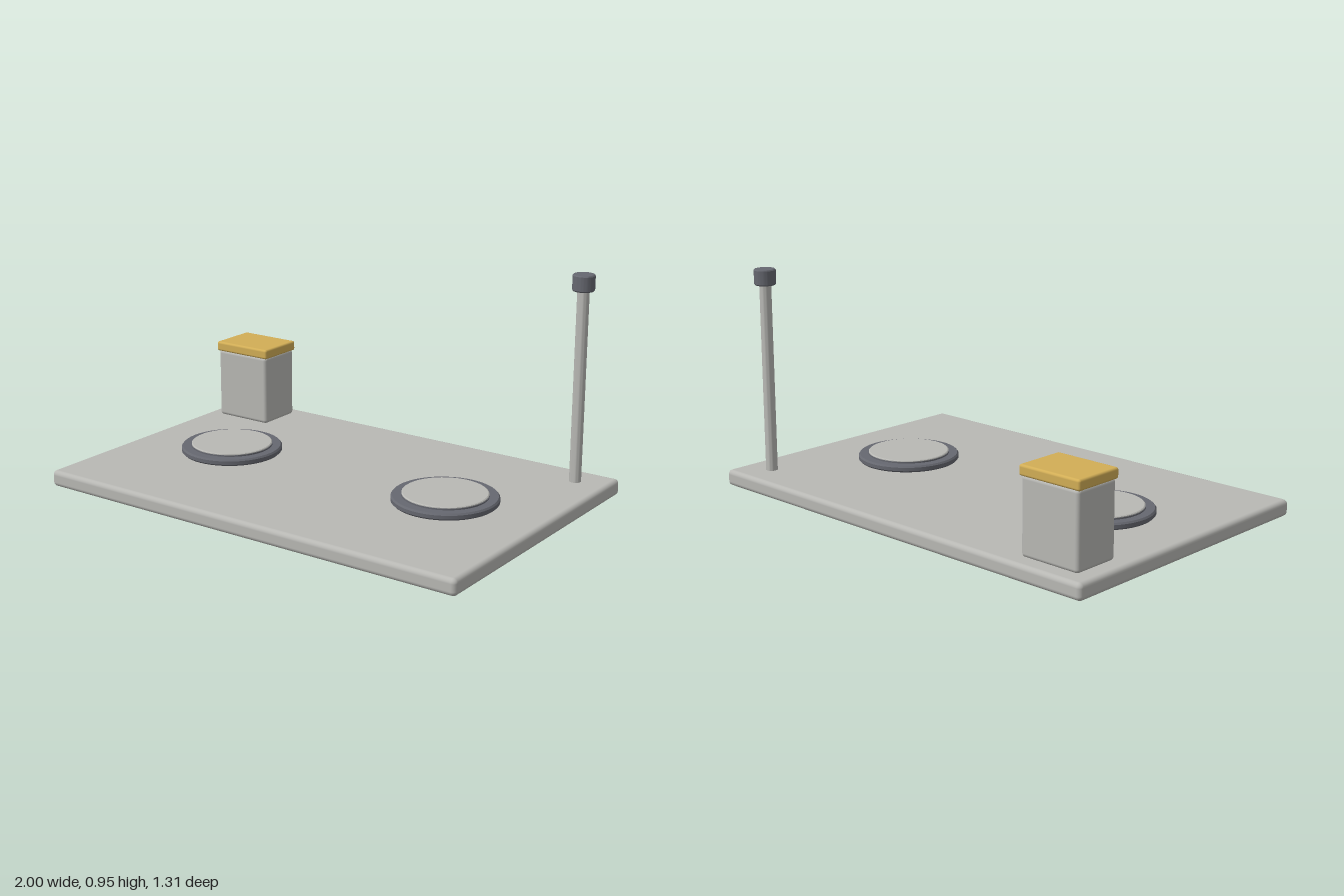
import * as THREE from 'three';
import { RoundedBoxGeometry } from 'three/addons/geometries/RoundedBoxGeometry.js';
import { toCreasedNormals } from 'three/addons/utils/BufferGeometryUtils.js';

const steel = new THREE.MeshStandardMaterial({ name: 'brushed grey', color: 0xb8b8b4 });
const dark = new THREE.MeshStandardMaterial({ name: 'dark grey', color: 0x666870 });
const gold = new THREE.MeshStandardMaterial({ name: 'warm gold', color: 0xd2ae56 });

export function createModel() {
  const model = new THREE.Group();
  model.name = 'countertopPanel';

  const add = (name, geometry, material, x, y, z) => {
    const mesh = new THREE.Mesh(geometry, material);
    mesh.name = name;
    mesh.position.set(x, y, z);
    model.add(mesh);
  };
  // Softened box spanning bottom to top
  const box = (name, material, x, z, w, d, bottom, top, r) =>
    add(name, new RoundedBoxGeometry(w, top - bottom, d, 3, r), material, x, (bottom + top) / 2, z);
  // Turned part from [radius, height] pairs, bottom to top
  const turned = (name, material, x, z, profile) => {
    const points = profile.map(([r, y]) => new THREE.Vector2(r, y));
    add(name, toCreasedNormals(new THREE.LatheGeometry(points, 48), 0.6), material, x, 0, z);
  };

  // Flat slab
  box('baseSlab', steel, 0, 0, 2, 1.31, 0, 0.07, 0.02);

  // Canister with a slightly wider lid
  box('canisterBody', steel, -0.795, -0.485, 0.275, 0.21, 0.07, 0.385, 0.016);
  box('canisterLid', gold, -0.795, -0.485, 0.29, 0.22, 0.38, 0.424, 0.01);

  // Pair of round plates, each set in a stepped ring
  for (const [side, x] of [['left', 0.55], ['right', -0.55]]) {
    turned(`${side}PlateRing`, dark, x, 0, [
      [0, 0.069], [0.212, 0.069], [0.22, 0.077], [0.22, 0.092], [0.214, 0.099],
      [0.178, 0.099], [0.178, 0.105], [0, 0.105],
    ]);
    turned(`${side}Plate`, steel, x, 0, [
      [0, 0.1], [0.176, 0.1], [0.176, 0.108], [0.172, 0.111], [0, 0.111],
    ]);
  }

  // Upright post and its cap
  turned('post', steel, 0.86, -0.52, [[0, 0.069], [0.025, 0.069], [0.025, 0.885], [0, 0.885]]);
  turned('postCap', dark, 0.86, -0.52, [
    [0, 0.879], [0.042, 0.879], [0.046, 0.884], [0.046, 0.942], [0.042, 0.947], [0, 0.947],
  ]);

  return model;
}
